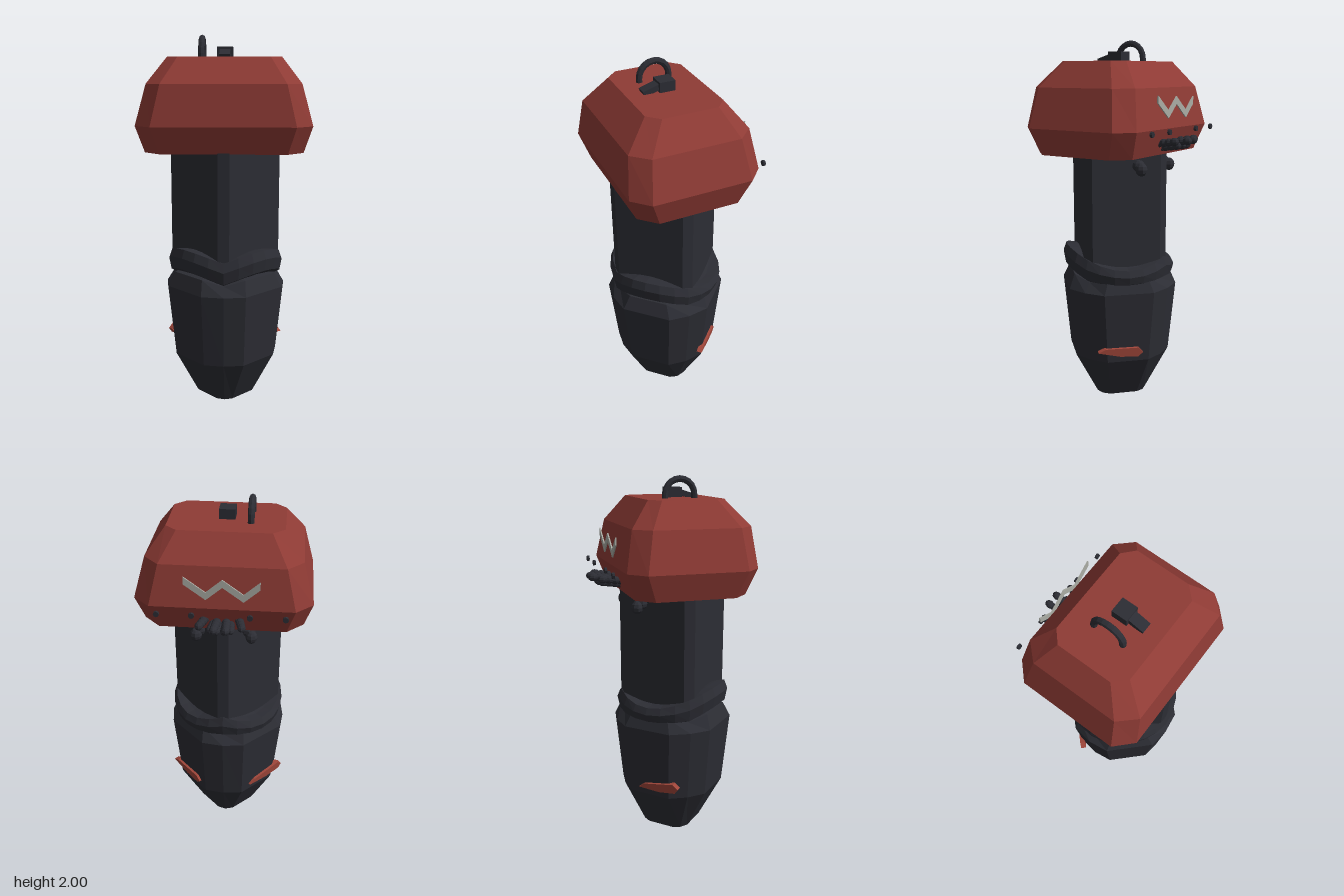
import * as THREE from 'three';

const red = new THREE.MeshStandardMaterial({ name: 'cap red', color: 0x8f3b35 });
const scuff = new THREE.MeshStandardMaterial({ name: 'patch red', color: 0xa0463a });
const dark = new THREE.MeshStandardMaterial({ name: 'charcoal', color: 0x2c2d34 });
const grey = new THREE.MeshStandardMaterial({ name: 'pale grey', color: 0xabada5 });
const CZ = 0.067; // depth of the vertical axis

function flat(geo) {
  const g = geo.index ? geo.toNonIndexed() : geo;
  g.computeVertexNormals();
  return g;
}

// Faceted solid through a stack of rings, closed at both ends
function loft(rings) {
  const pos = [];
  const n = rings[0].length;
  const top = rings[rings.length - 1];
  const mid = (r) => [0, 1, 2].map((k) => r.reduce((s, p) => s + p[k], 0) / n);
  const low = mid(rings[0]);
  const high = mid(top);
  for (let j = 0; j < n; j++) {
    const k = (j + 1) % n;
    for (let i = 0; i < rings.length - 1; i++) {
      const a = rings[i][j], b = rings[i][k], c = rings[i + 1][k], d = rings[i + 1][j];
      pos.push(...a, ...d, ...c, ...a, ...c, ...b);
    }
    pos.push(...low, ...rings[0][j], ...rings[0][k], ...high, ...top[k], ...top[j]);
  }
  const g = new THREE.BufferGeometry();
  g.setAttribute('position', new THREE.Float32BufferAttribute(pos, 3));
  return flat(g);
}

// Rectangle with cut corners
function cutRect(y, X, x, zf, zfc, zb, zbc) {
  return [[X, zbc], [X, zfc], [x, zf], [-x, zf], [-X, zfc], [-X, zbc], [-x, zb], [x, zb]]
    .map(([px, pz]) => [px, y, pz]);
}

// Twelve-sided section: ridge r on each axis, corners (a, b) beside it
function ridged(r, a, b, y, wave = 0) {
  const out = [];
  for (let q = 0; q < 4; q++) {
    const c = Math.round(Math.cos(q * Math.PI / 2)), s = Math.round(Math.sin(q * Math.PI / 2));
    for (const [u, v] of [[r, 0], [a, b], [b, a]]) {
      out.push([u * c - v * s, y + (v ? wave : 0), u * s + v * c + CZ]);
    }
  }
  return out;
}

// Collar section whose edge arches on the front corners and sags on the back ones
function collarRing(r, y, arch, sag) {
  return Array.from({ length: 24 }, (_, i) => {
    const t = i / 24 * Math.PI * 2;
    const lift = Math.abs(Math.sin(2 * t)) * (Math.sin(t) > 0 ? arch : -sag);
    return [r * Math.cos(t), y + lift, r * Math.sin(t) + CZ];
  });
}

export function createModel() {
  const model = new THREE.Group();
  const add = (name, geo, mat, x = 0, y = 0, z = 0, parent = model) => {
    const m = new THREE.Mesh(geo, mat);
    m.name = name;
    m.position.set(x, y, z);
    parent.add(m);
    return m;
  };

  // Tapered lower body
  add('lowerBody', loft([
    ridged(0.168, 0.155, 0.045, 0),
    ridged(0.287, 0.272, 0.108, 0.25),
    ridged(0.328, 0.312, 0.118, 0.65),
    ridged(0.285, 0.27, 0.115, 0.7, 0.03),
    ridged(0.22, 0.2, 0.1, 0.74),
  ]), dark);

  // Wavy collar
  add('collar', loft([
    collarRing(0.25, 0.69, 0.05, 0.01), collarRing(0.305, 0.715, 0.055, 0.01),
    collarRing(0.317, 0.78, 0.055, 0.035), collarRing(0.3, 0.83, 0.05, 0.05),
    collarRing(0.25, 0.83, 0.045, 0.05),
  ]), dark);

  // Column: diagonal walls with narrow flats between them
  add('column', loft([0.75, 1.42].map((y) =>
    cutRect(y, 0.295, 0.03, CZ + 0.295, CZ + 0.03, CZ - 0.295, CZ - 0.03))), dark);

  // Bevelled cap
  add('cap', loft([
    cutRect(1.4, 0.41, 0.325, 0.36, 0.275, -0.235, -0.15),
    cutRect(1.54, 0.452, 0.365, 0.41, 0.325, -0.285, -0.2),
    cutRect(1.75, 0.395, 0.315, 0.385, 0.3, -0.245, -0.16),
    cutRect(1.885, 0.295, 0.235, 0.265, 0.205, -0.14, -0.085),
  ]), red);

  // Hoop, block and wedge on the top
  const hoop = add('topHoop', flat(new THREE.TorusGeometry(0.08, 0.017, 8, 10, Math.PI)), dark, -0.122, 1.903, 0.063);
  hoop.rotation.y = Math.PI / 2;
  for (const s of [-1, 1]) {
    add('hoopFoot', flat(new THREE.CylinderGeometry(0.017, 0.017, 0.03, 8)), dark, -0.122, 1.89, 0.063 + s * 0.08);
  }
  add('topBlock', new THREE.BoxGeometry(0.083, 0.06, 0.083), dark, 0, 1.907, 0.061);
  const lever = add('topLever', new THREE.BoxGeometry(0.056, 0.03, 0.09), dark, 0, 1.898, 0.137);
  lever.rotation.x = 0.3;

  // Zigzag plate on the back of the cap
  const zig = [[0.185, 1.695], [0.076, 1.615], [-0.006, 1.685], [-0.11, 1.61], [-0.19, 1.68]];
  const outline = [
    ...zig.map(([x, y]) => new THREE.Vector2(x, y + 0.02)),
    ...zig.map(([x, y]) => new THREE.Vector2(x, y - 0.02)).reverse(),
  ];
  add('zigzagPlate', new THREE.ExtrudeGeometry(new THREE.Shape(outline), { depth: 0.007, bevelEnabled: false }),
    grey, 0, 0, -0.3);

  // Jointed fingers below the zigzag, splayed slightly outward
  const bead = flat(new THREE.SphereGeometry(1, 8, 6));
  const fingers = new THREE.Group();
  fingers.name = 'fingers';
  model.add(fingers);
  const rows = [
    { y: 1.478, list: [[0.105, -0.35], [0.03, -0.385]], w: 0.021 },
    { y: 1.452, list: [[0.052, -0.335], [0.018, -0.345]], w: 0.019 },
  ];
  for (const { y, list, w } of rows) {
    for (const s of [-1, 1]) {
      for (const [x, tip] of list) {
        for (let i = 0; i < 4; i++) {
          const seg = add('fingerSegment', bead, dark, s * x * (1 - 0.06 * i), y - 0.005 * i, tip + 0.034 * i, fingers);
          seg.scale.set(w + 0.001 * i, 0.021, 0.028);
        }
      }
    }
  }

  // Row of small studs behind the cap
  const disc = flat(new THREE.CylinderGeometry(0.015, 0.015, 0.013, 8).rotateX(Math.PI / 2));
  for (const x of [-0.318, -0.145, 0.142, 0.315]) add('stud', disc, dark, x, 1.53, -0.343);

  // Knobs on the back of the column
  for (const s of [-1, 1]) {
    add('knob', bead, dark, s * 0.13, 1.342, -0.15).scale.set(0.035, 0.032, 0.035);
    add('knobTip', bead, dark, s * 0.145, 1.325, -0.177).scale.set(0.032, 0.036, 0.033);
  }

  // Pointed patches on the two back corners of the lower body
  const patch = new THREE.Shape([
    [-0.125, 0.005], [-0.085, 0.025], [0.1, 0.022], [0.125, -0.008], [0.1, -0.032], [0, -0.026],
  ].map(([x, y]) => new THREE.Vector2(x, y)));
  const patchGeo = new THREE.ExtrudeGeometry(patch, { depth: 0.03, bevelEnabled: false });
  const placements = [
    { turn: Math.PI * 0.75, shift: -0.045, tilt: 0 },
    { turn: Math.PI * 1.25, shift: 0.06, tilt: 0.2 },
  ];
  for (const { turn, shift, tilt } of placements) {
    const holder = new THREE.Group();
    holder.name = 'patchHolder';
    holder.position.set(0, 0.315, CZ);
    holder.rotation.y = turn;
    model.add(holder);
    add('patch', patchGeo, scuff, shift, 0, 0.258, holder).rotation.set(0.1, 0, tilt);
  }

  return model;
}
